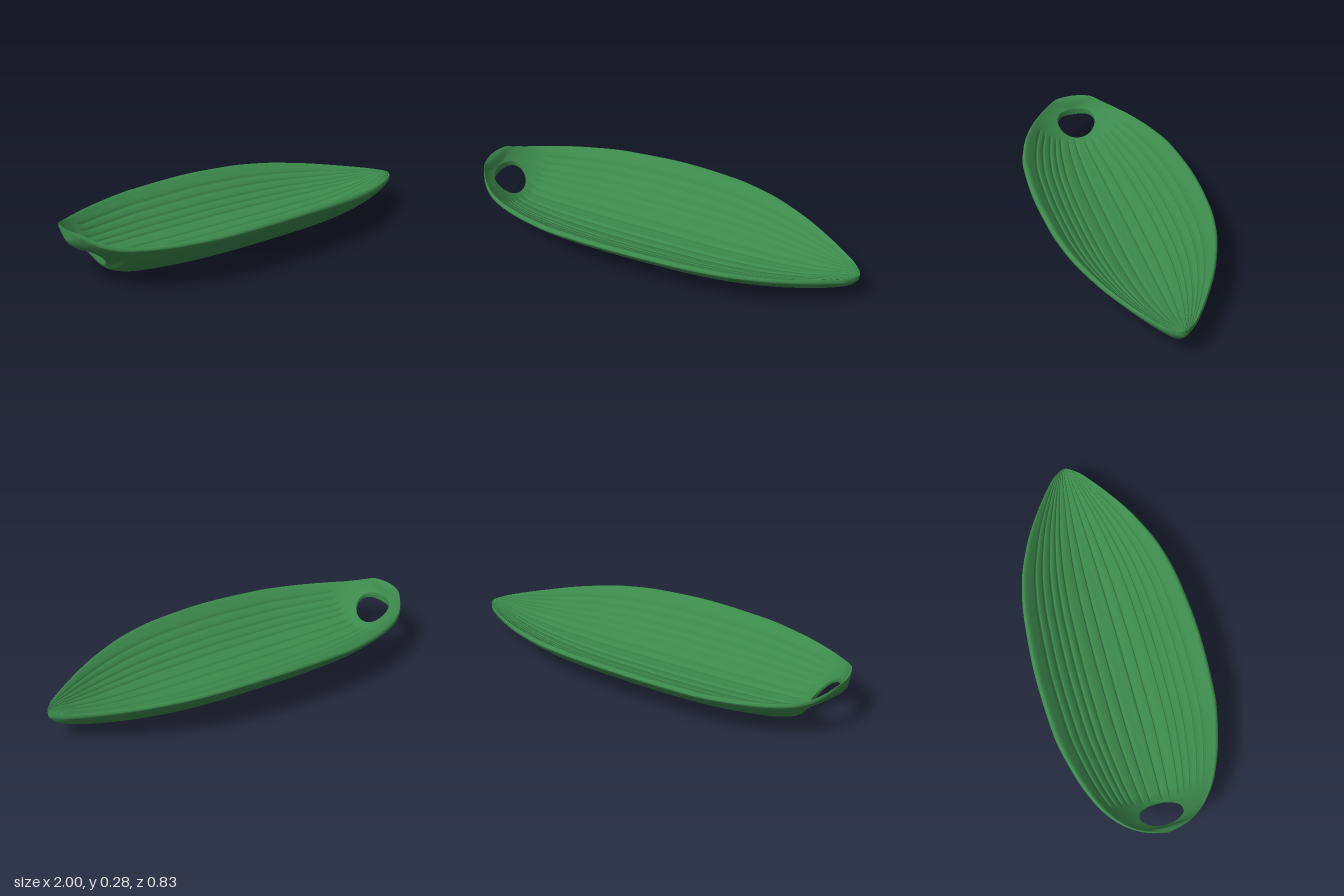
import * as THREE from 'three';
import { mergeVertices } from 'three/addons/utils/BufferGeometryUtils.js';

// Smooth function through [x, value] points (cubic Hermite, limited slopes)
function smooth(pts) {
  const d = pts.slice(1).map((p, i) => (p[1] - pts[i][1]) / (p[0] - pts[i][0]));
  const m = pts.map((p, i) => {
    if (i === 0) return d[0];
    if (i === pts.length - 1) return d[i - 1];
    return d[i - 1] * d[i] <= 0 ? 0 : (2 * d[i - 1] * d[i]) / (d[i - 1] + d[i]);
  });
  return (x) => {
    let i = 0;
    while (i < pts.length - 2 && x > pts[i + 1][0]) i++;
    const h = pts[i + 1][0] - pts[i][0], t = (x - pts[i][0]) / h, u = 1 - t;
    return pts[i][1] * (1 + 2 * t) * u * u + m[i] * h * t * u * u
      + pts[i + 1][1] * t * t * (3 - 2 * t) - m[i + 1] * h * t * t * u;
  };
}

// Square of the half width, so both ends round off
const widthSq = smooth([[-1, 0], [-0.98, 0.01], [-0.95, 0.023], [-0.9, 0.044], [-0.8, 0.08],
  [-0.6, 0.13], [-0.4, 0.162], [-0.1, 0.174], [0.2, 0.16], [0.4, 0.133], [0.6, 0.086],
  [0.8, 0.034], [0.9, 0.0135], [0.95, 0.006], [0.98, 0.0018], [1, 0]]);
// Heights along the length: rim, underside and floor at the centre line
const rimY = smooth([[-1, 0.285], [-0.98, 0.283], [-0.95, 0.264], [-0.905, 0.246], [-0.85, 0.237],
  [-0.75, 0.234], [-0.4, 0.241], [-0.05, 0.248], [0.2, 0.243], [0.4, 0.23], [0.6, 0.208],
  [0.8, 0.181], [1, 0.153]]);
const keelY = smooth([[-1, 0.23], [-0.98, 0.203], [-0.93, 0.168], [-0.88, 0.13], [-0.84, 0.09],
  [-0.815, 0.055], [-0.77, 0.036], [-0.7, 0.022], [-0.5, 0.008], [-0.2, 0], [0.2, 0], [0.4, 0.004],
  [0.6, 0.018], [0.8, 0.043], [0.9, 0.065], [0.97, 0.092], [1, 0.125]]);
const floorY = smooth([[-1, 0.285], [-0.98, 0.268], [-0.96, 0.222], [-0.9, 0.165], [-0.83, 0.108],
  [-0.77, 0.082], [-0.6, 0.066], [-0.2, 0.055], [0.2, 0.055], [0.5, 0.065], [0.7, 0.085],
  [0.85, 0.115], [0.95, 0.145], [1, 0.153]]);

// Hanging hole
const HOLE = { x0: -0.96, x1: -0.83, halfZ: 0.105 };
function holeZ(x) {
  const k = (2 * (x - HOLE.x0)) / (HOLE.x1 - HOLE.x0) - 1;
  return Math.abs(k) >= 0.99999 ? 0 : HOLE.halfZ * Math.sqrt(1 - k * k);
}

// Lengthwise grooves, as fractions of the half width
const GROOVES = [0.1, 0.24, 0.4, 0.5, 0.6, 0.71, 0.81];
const GROOVE_HALF = 0.022;
function grooveDepth(x, s, w) {
  const near = Math.min(...GROOVES.map((g) => Math.abs(s - g)));
  const fade = THREE.MathUtils.smoothstep(x, -0.83, -0.78);
  return 0.011 * Math.max(0, 1 - near / GROOVE_HALF) * fade * Math.sqrt(w / 0.42);
}

// Samples across the top, with a point in and beside every groove
const topSteps = [0, 0.05, 0.17, 0.32, 0.45, 0.55, 0.655, 0.76, 0.87, 0.91, 0.95];
GROOVES.forEach((g) => topSteps.push(g - GROOVE_HALF, g - GROOVE_HALF / 2, g, g + GROOVE_HALF / 2, g + GROOVE_HALF));
topSteps.sort((a, b) => a - b);
const UNDER = 18;

// Half cross-section: floor outwards, round the rim, underside back inwards
function halfSection(x) {
  const w = Math.sqrt(Math.max(0, widthSq(x)));
  const h = holeZ(x), R = rimY(x), K = keelY(x), F = floorY(x);
  const place = (t) => h + t * (w - h);
  const pts = topSteps.map((t) => {
    const z = place(t), s = w > 0 ? z / w : t;
    const k = Math.min(1, s / 0.95);
    return [x, F + (R - F) * k * k - grooveDepth(x, s, w), z];
  });
  [[0.975, 0.002], [0.99, 0.007], [0.998, 0.013]].forEach(([t, drop]) => pts.push([x, R - drop, place(t)]));
  for (let i = 0; i <= UNDER; i++) {
    const z = place(1 - i / UNDER), s = w > 0 ? z / w : 1 - i / UNDER;
    pts.push([x, K + (R - 0.02 - K) * s * s, z]);
  }
  return pts;
}

// Stations along the length, closer together at the ends and round the hole
function stations() {
  const xs = [-1];
  [[-1, HOLE.x0, 12], [HOLE.x0, HOLE.x1, 28], [HOLE.x1, 1, 80]].forEach(([a, b, n]) => {
    for (let i = 1; i <= n; i++) xs.push(i === n ? b : a + (b - a) * (0.5 - 0.5 * Math.cos((Math.PI * i) / n)));
  });
  return xs;
}

function dishGeometry() {
  const xs = stations(), rows = xs.map(halfSection), n = rows[0].length;
  const pos = [], index = [];
  for (const side of [1, -1]) {
    const base = pos.length / 3;
    rows.forEach((row) => row.forEach(([x, y, z]) => pos.push(x, y, z * side)));
    for (let i = 0; i < rows.length - 1; i++) {
      const inHole = holeZ(xs[i]) + holeZ(xs[i + 1]) > 0;
      // the last strip is the wall of the hole
      for (let j = 0; j < (inHole ? n : n - 1); j++) {
        const k = (j + 1) % n;
        const a = base + i * n + j, b = base + i * n + k, c = b + n, d = a + n;
        if (side > 0) index.push(a, b, d, b, c, d);
        else index.push(a, d, b, b, d, c);
      }
    }
  }
  let geo = new THREE.BufferGeometry();
  geo.setAttribute('position', new THREE.Float32BufferAttribute(pos, 3));
  geo.setIndex(index);
  geo = mergeVertices(geo, 1e-5);
  geo.computeVertexNormals();
  return geo;
}

export function createModel() {
  const model = new THREE.Group();
  model.name = 'leafDish';
  const dish = new THREE.Mesh(dishGeometry(), new THREE.MeshStandardMaterial({ color: 0x3c8a4c }));
  dish.name = 'groovedDish';
  model.add(dish);
  return model;
}
